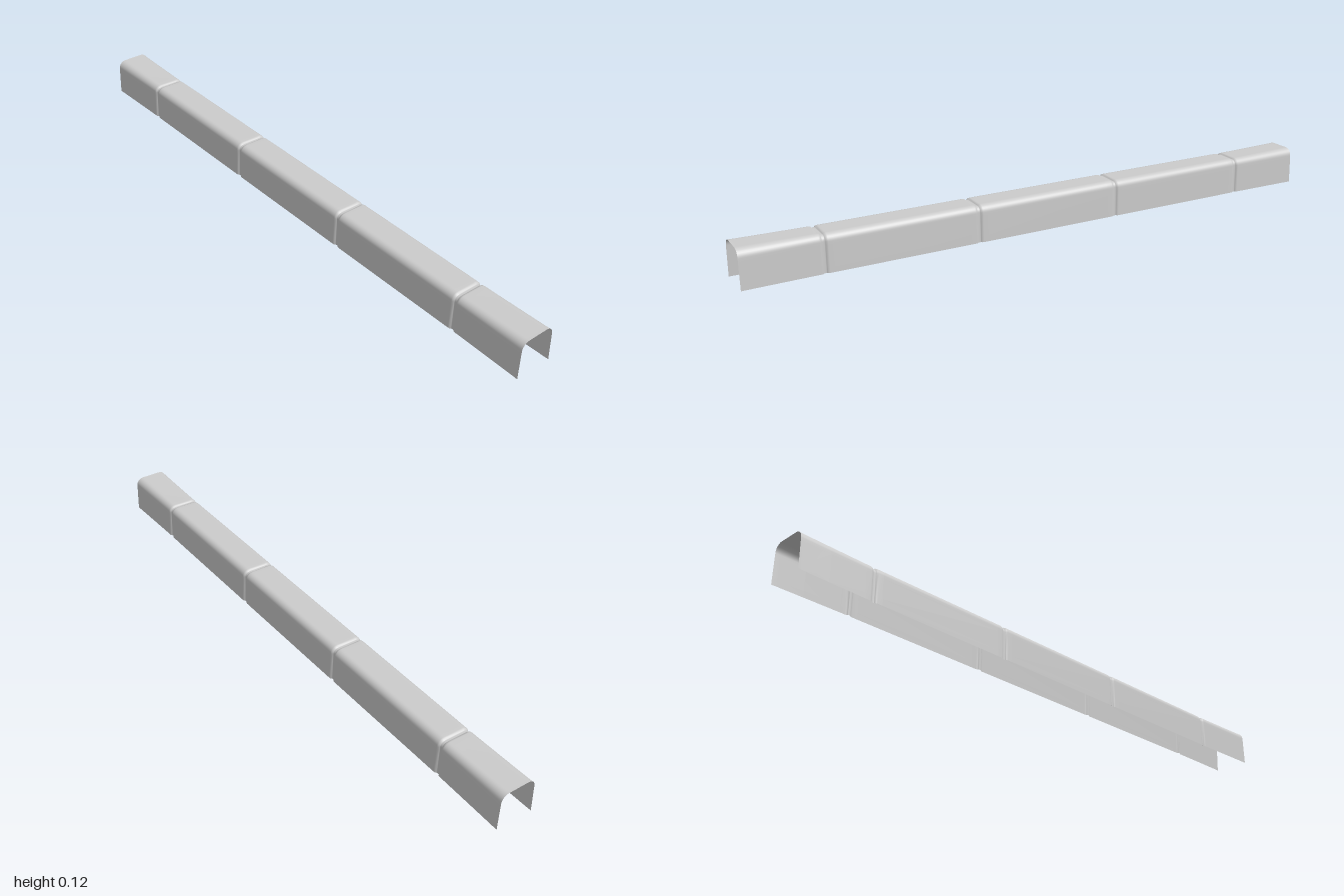
import * as THREE from 'three';

// Arch cross-section, shrunk inwards by d: two drafted walls, rounded corners, flat top
function archSection(d) {
  const top = 0.122 - d, foot = 0.0622 - d, wall = 0.0595 - d, r = 0.026 - d;
  const half = [[foot, 0], [foot - 0.0005, 0.02], [wall + 0.0003, top - r - 0.01]];
  const n = 8;
  for (let i = 0; i <= n; i++) {
    const a = (i / n) * Math.PI / 2;
    half.push([wall - r + r * Math.cos(a), top - r + r * Math.sin(a)]);
  }
  half.push([wall - r - 0.004, top]);
  return [...half, ...half.slice().reverse().map(([x, y]) => [-x, y])];
}

// Stations along the length as [z, inset]
function stations() {
  const body = 0.004, deep = 0.0088;
  const list = [[-1, 0], [-0.985, 0.0008], [-0.9, 0.0022]];
  for (const z of [-0.75, -0.25, 0.25, 0.75]) {
    // rounded shoulders into a narrow seam
    list.push([z - 0.03, body], [z - 0.013, body], [z - 0.008, body + 0.0008],
      [z - 0.005, deep - 0.0006], [z - 0.003, deep], [z + 0.003, deep],
      [z + 0.005, deep - 0.0006], [z + 0.008, body + 0.0008],
      [z + 0.013, body], [z + 0.03, body]);
  }
  list.push([0.9, 0.0022], [0.985, 0.0008], [1, 0]);
  return list;
}

// Skin consecutive sections into one smooth sheet
function loft(rings) {
  const positions = [], index = [], n = rings[0].points.length;
  for (const { z, points } of rings) for (const [x, y] of points) positions.push(x, y, z);
  for (let i = 0; i < rings.length - 1; i++) {
    for (let j = 0; j < n - 1; j++) {
      const a = i * n + j, b = a + 1, c = a + n, e = c + 1;
      index.push(a, b, c, b, e, c);
    }
  }
  const geometry = new THREE.BufferGeometry();
  geometry.setAttribute('position', new THREE.Float32BufferAttribute(positions, 3));
  geometry.setIndex(index);
  geometry.computeVertexNormals();
  return geometry;
}

export function createModel() {
  const group = new THREE.Group();
  group.name = 'channelCover';
  const material = new THREE.MeshStandardMaterial({ color: 0xcccccc, side: THREE.DoubleSide });
  const rings = stations().map(([z, d]) => ({ z, points: archSection(d) }));
  // Open channel with flared ends and four seams
  const shell = new THREE.Mesh(loft(rings), material);
  shell.name = 'channelShell';
  group.add(shell);
  return group;
}
